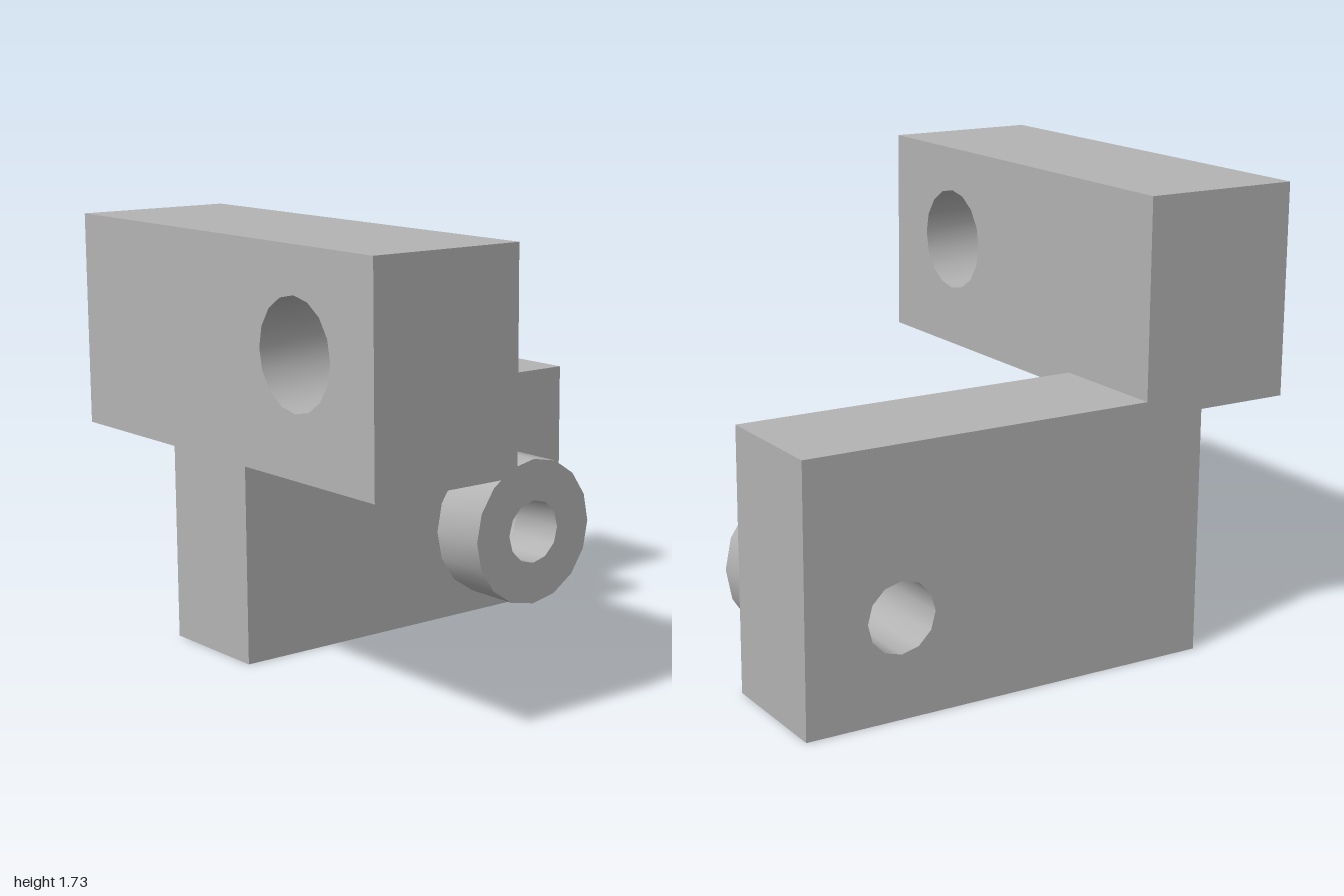
import * as THREE from 'three';
import { toCreasedNormals } from 'three/addons/utils/BufferGeometryUtils.js';

// Regular polygon outline with a vertex at the top
function circle(cx, cy, r, sides) {
  return Array.from({ length: sides }, (_, i) => {
    const a = Math.PI / 2 + (i / sides) * Math.PI * 2;
    return new THREE.Vector2(cx + r * Math.cos(a), cy + r * Math.sin(a));
  });
}

// Prism with a through hole; round walls smooth, edges sharp
function drilledPrism(outline, hole, depth) {
  const shape = new THREE.Shape(outline);
  shape.holes.push(new THREE.Path(hole));
  const geometry = new THREE.ExtrudeGeometry(shape, { depth, bevelEnabled: false });
  return toCreasedNormals(geometry, 0.6);
}

export function createModel() {
  const model = new THREE.Group();
  model.name = 'bracket';
  const grey = new THREE.MeshStandardMaterial({ color: 0xb3b3b3 });
  grey.name = 'grey';

  const add = (name, geometry) => {
    const mesh = new THREE.Mesh(geometry, grey);
    mesh.name = name;
    model.add(mesh);
  };
  const points = (list) => list.map(([x, y]) => new THREE.Vector2(x, y));

  // Upper arm running front to back, drilled sideways
  const arm = drilledPrism(
    points([[-0.88, 0.93], [0.88, 0.93], [0.88, 1.73], [-0.88, 1.73]]),
    circle(-0.45, 1.36, 0.2, 16), 0.615);
  arm.rotateY(Math.PI / 2).translate(-1, 0, 0);
  add('upperArm', arm);

  // Back plate, notched at the corner where the arm sits
  const bore = circle(0.627, 0.373, 0.133, 12);
  const plate = drilledPrism(
    points([[-0.63, 0], [1, 0], [1, 0.99], [-0.385, 0.99], [-0.385, 0.93], [-0.63, 0.93]]),
    bore, 0.49);
  plate.translate(0, 0, -0.88);
  add('backPlate', plate);

  // Round boss around the bore
  const boss = drilledPrism(circle(0.627, 0.373, 0.307, 16), bore, 0.25);
  boss.translate(0, 0, -0.39);
  add('boss', boss);

  return model;
}
